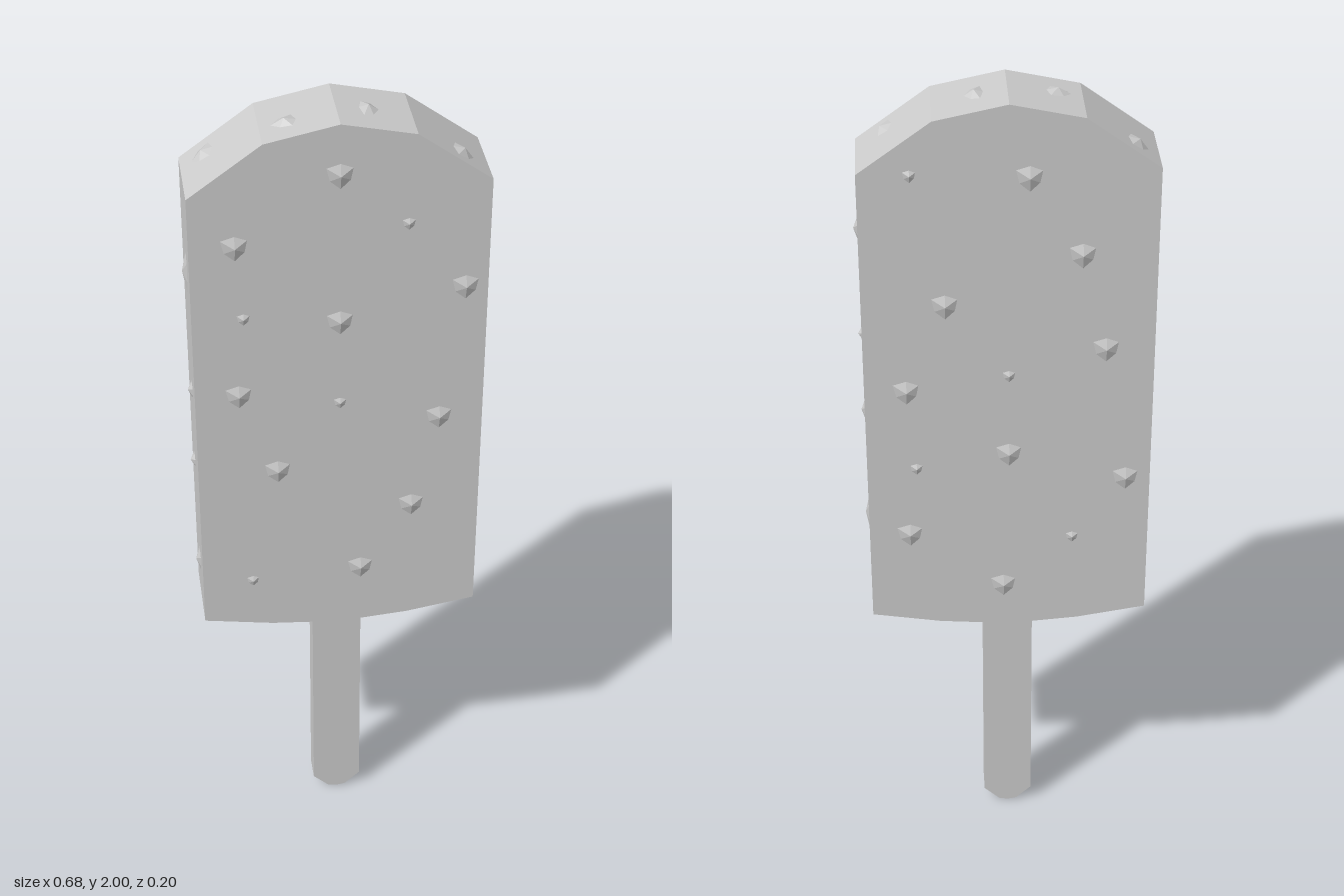
import * as THREE from 'three';

const FRONT = 0.09, BACK = -0.094, SIDE = 0.33;

// Flat prism with a symmetric outline, given as its right half from bottom to top
function prism(name, half, z0, z1, material) {
  const mirrored = half.filter(([x]) => x > 0).reverse().map(([x, y]) => [-x, y]);
  const shape = new THREE.Shape([...half, ...mirrored].map(([x, y]) => new THREE.Vector2(x, y)));
  const geo = new THREE.ExtrudeGeometry(shape, { depth: z1 - z0, bevelEnabled: false });
  geo.translate(0, 0, z0);
  const mesh = new THREE.Mesh(geo, material);
  mesh.name = name;
  return mesh;
}

// Low faceted nut chip: a squat cone with an uneven rim, pointing along +z
function chipGeometry() {
  const rim = [1, 0.75, 0.95, 0.8, 1.05, 0.8];
  const geo = new THREE.ConeGeometry(1, 1, 6, 1, true);
  geo.translate(0, 0.5, 0);
  const pos = geo.attributes.position;
  for (let i = 0; i < pos.count; i++) {
    if (pos.getY(i) > 0.5) continue;
    const r = rim[i % 7 % 6];
    pos.setXYZ(i, pos.getX(i) * r, -0.1, pos.getZ(i) * r);
  }
  geo.rotateX(Math.PI / 2);
  return geo.toNonIndexed();
}

export function createModel() {
  const model = new THREE.Group();
  const material = new THREE.MeshStandardMaterial({ color: 0xcccccc });
  const chipMaterial = new THREE.MeshStandardMaterial({ color: 0xcccccc, flatShading: true, side: THREE.DoubleSide });

  // Ice cream block with arched top and bowed bottom
  model.add(prism('iceCream',
    [[0, 0.63], [0.165, 0.643], [SIDE, 0.67], [SIDE, 1.845], [0.165, 1.965], [0, 2]], BACK, FRONT, material));
  // Stick with chamfered end
  model.add(prism('stick',
    [[0, 0], [0.022, 0.004], [0.06, 0.04], [0.06, 0.7], [0, 0.7]], -0.03, 0.03, material));

  // Nut chips, one group per face
  const geo = chipGeometry();
  const addChip = (group, p, n, w, h, out) => {
    const chip = new THREE.Mesh(geo, chipMaterial);
    chip.name = 'nutChip';
    chip.position.set(...p);
    chip.scale.set(w, h, out);
    chip.lookAt(p[0] + n[0], p[1] + n[1], p[2] + n[2]);
    group.add(chip);
  };
  const face = (name) => {
    const group = new THREE.Group();
    group.name = name;
    model.add(group);
    return group;
  };

  // Front and back: [x, y, small]
  const flats = [
    ['frontChips', FRONT, 1, [[0, 1.88], [-0.23, 1.72], [0.15, 1.75, 1], [-0.215, 1.535, 1], [0.28, 1.58],
      [0, 1.51], [-0.23, 1.33], [0, 1.29, 1], [0.23, 1.23], [-0.145, 1.11], [0.17, 0.98], [0.05, 0.8], [-0.21, 0.785, 1]]],
    ['backChips', BACK, -1, [[0.215, 1.84, 1], [-0.045, 1.83], [0.143, 1.52], [-0.163, 1.64], [0.234, 1.3],
      [0, 1.335, 1], [-0.22, 1.4], [0.215, 1.09, 1], [0, 1.125], [0.234, 0.905], [-0.273, 1.05], [0.013, 0.75], [-0.15, 0.885, 1]]],
  ];
  for (const [name, z, dir, chips] of flats) {
    const group = face(name);
    for (const [x, y, small] of chips) {
      const r = small ? 0.018 : 0.037;
      addChip(group, [x, y, z], [0, 0, dir], r, r, small ? 0.006 : 0.01);
    }
  }

  // Sides: [y, z, half width, half height]
  const sides = [
    ['leftChips', 1, [[1.69, -0.035, 0.028, 0.035], [1.4, 0.005, 0.022, 0.018], [1.19, 0.015, 0.028, 0.035], [0.9, 0.015, 0.022, 0.065]]],
    ['rightChips', -1, [[1.62, 0.007, 0.026, 0.065], [1.3, 0.007, 0.022, 0.026], [1.08, -0.02, 0.022, 0.022], [0.8, 0.007, 0.028, 0.038]]],
  ];
  for (const [name, dir, chips] of sides) {
    const group = face(name);
    for (const [y, z, w, h] of chips) addChip(group, [dir * SIDE, y, z], [dir, 0, 0], w, h, 0.01);
  }

  // Arched top: [x, z, half width, half depth]
  const top = face('topChips');
  for (const [x, z, w, h] of [[-0.28, -0.04, 0.034, 0.034], [-0.11, 0.02, 0.034, 0.03], [0.07, 0, 0.026, 0.04], [0.27, 0.04, 0.034, 0.034]]) {
    const a = Math.abs(x), outer = a > 0.165;
    const y = outer ? 1.965 - (a - 0.165) * 0.12 / 0.165 : 2 - a * 0.035 / 0.165;
    addChip(top, [x, y, z], [Math.sign(x) * (outer ? 0.12 : 0.035), 0.165, 0], h, w, 0.01);
  }
  return model;
}
